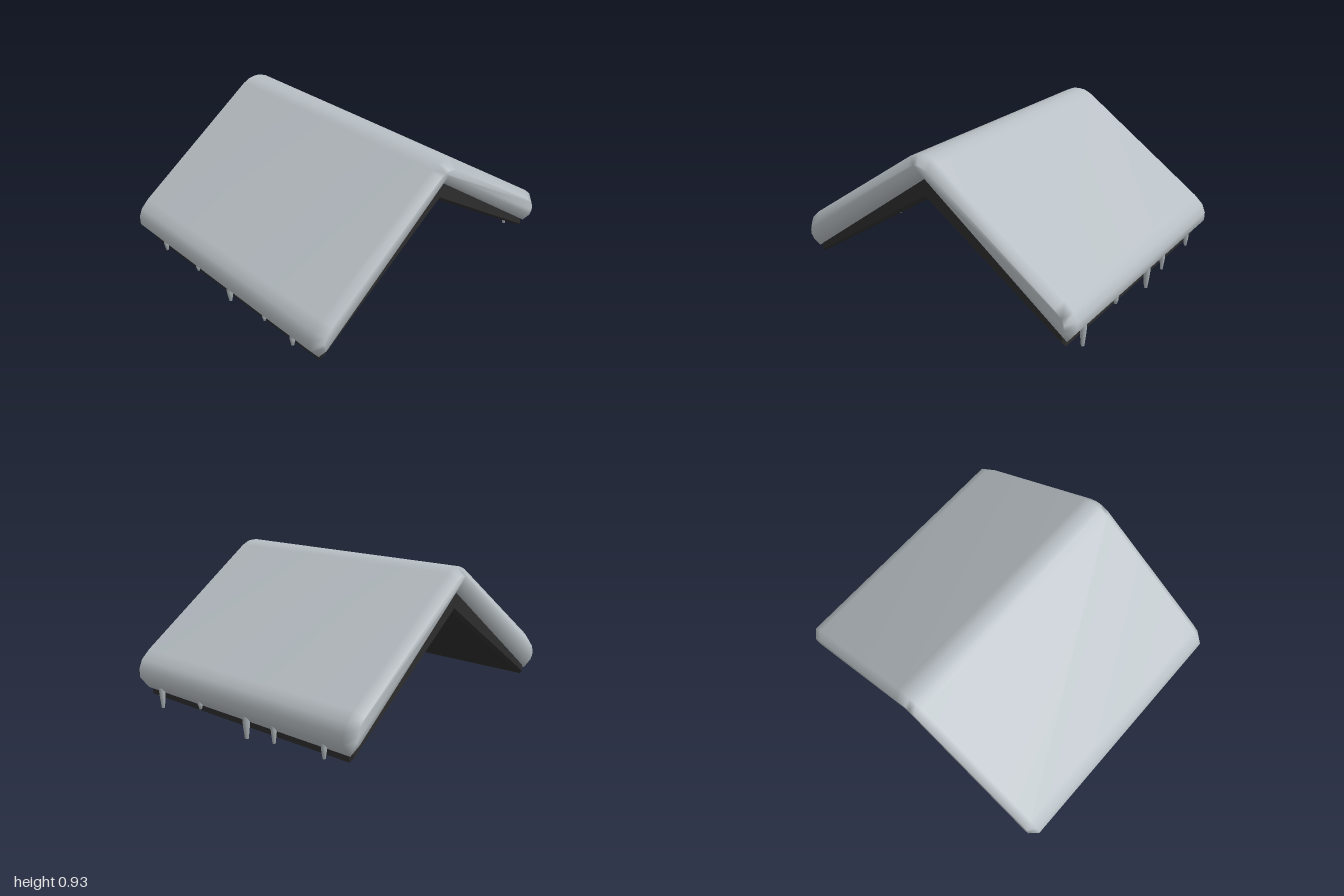
import * as THREE from 'three';
import { mergeVertices } from 'three/addons/utils/BufferGeometryUtils.js';

const snowMat = new THREE.MeshStandardMaterial({ name: 'snow grey', color: 0xb8bfc4 });
const roofMat = new THREE.MeshStandardMaterial({ name: 'dark roof', color: 0x2d2d2d });
const iceMat = new THREE.MeshStandardMaterial({ name: 'ice grey', color: 0xa8afb3 });

// Mirror the +x half of an outline (ridge top to ridge underside) and extrude it
// along z with a single chamfer that grows the outline outwards.
function gable(half, halfDepth, bevel) {
  const inner = half[half.length - 1];
  const sides = half.slice(1, -1);
  const mirrored = sides.map(([x, y]) => [-x, y]).reverse();
  const outline = [half[0], ...sides, inner, ...mirrored];
  const shape = new THREE.Shape(outline.map(([x, y]) => new THREE.Vector2(x, y)));
  const geo = new THREE.ExtrudeGeometry(shape, {
    depth: 2 * (halfDepth - bevel),
    bevelEnabled: true,
    bevelSize: bevel,
    bevelThickness: bevel,
    bevelSegments: 1,
  });
  geo.translate(0, 0, -(halfDepth - bevel));
  return geo;
}

// Weld all corners so the shading runs softly over the edges
function soften(geo) {
  geo.deleteAttribute('normal');
  geo.deleteAttribute('uv');
  const welded = mergeVertices(geo, 1e-4);
  welded.computeVertexNormals();
  return welded;
}

// Tapered icicle hanging from the eave down to the given height
function icicle(x, z, tip, r) {
  const top = 0.17;
  const neck = 0.12 - (0.12 - tip) * 0.4;
  const profile = [[0, tip], [r * 0.5, tip + 0.003], [r * 0.85, neck], [r, 0.11], [r, top]];
  const geo = new THREE.LatheGeometry(profile.map(([a, b]) => new THREE.Vector2(a, b)), 8);
  const mesh = new THREE.Mesh(geo, iceMat);
  mesh.position.set(x, 0, z);
  mesh.name = 'icicle';
  return mesh;
}

export function createModel() {
  const model = new THREE.Group();
  model.name = 'snowyRoof';

  // Thick snow blanket with rounded ridge and eaves
  const snowHalf = [
    [0, 0.882], [0.03, 0.879], [0.07, 0.862], [0.89, 0.306], [0.935, 0.265],
    [0.95, 0.23], [0.95, 0.2], [0.93, 0.173], [0, 0.852],
  ];
  const snow = new THREE.Mesh(soften(gable(snowHalf, 0.87, 0.05)), snowMat);
  snow.name = 'snowBlanket';
  model.add(snow);

  // Dark roof slab below the snow
  const roofHalf = [[0, 0.81], [0.91, 0.19], [0.91, 0.084], [0, 0.691]];
  const roof = new THREE.Mesh(gable(roofHalf, 0.82, 0.02), roofMat);
  roof.name = 'roofSlab';
  model.add(roof);

  // Icicles along both eaves: z, tip height, radius
  const leftRow = [[0.67, 0, 0.02], [0.31, 0.08, 0.016], [-0.08, 0, 0.022], [-0.295, 0.03, 0.017], [-0.655, 0.045, 0.017]];
  const rightRow = [[-0.61, 0.06, 0.017], [-0.26, 0.085, 0.014], [0.06, 0.04, 0.02], [0.38, 0.085, 0.014], [0.62, 0.06, 0.017]];
  for (const [side, row] of [[1, leftRow], [-1, rightRow]]) {
    const icicles = new THREE.Group();
    icicles.name = side > 0 ? 'leftIcicles' : 'rightIcicles';
    for (const [z, tip, r] of row) icicles.add(icicle(side * 0.95, z, tip, r));
    model.add(icicles);
  }
  return model;
}
